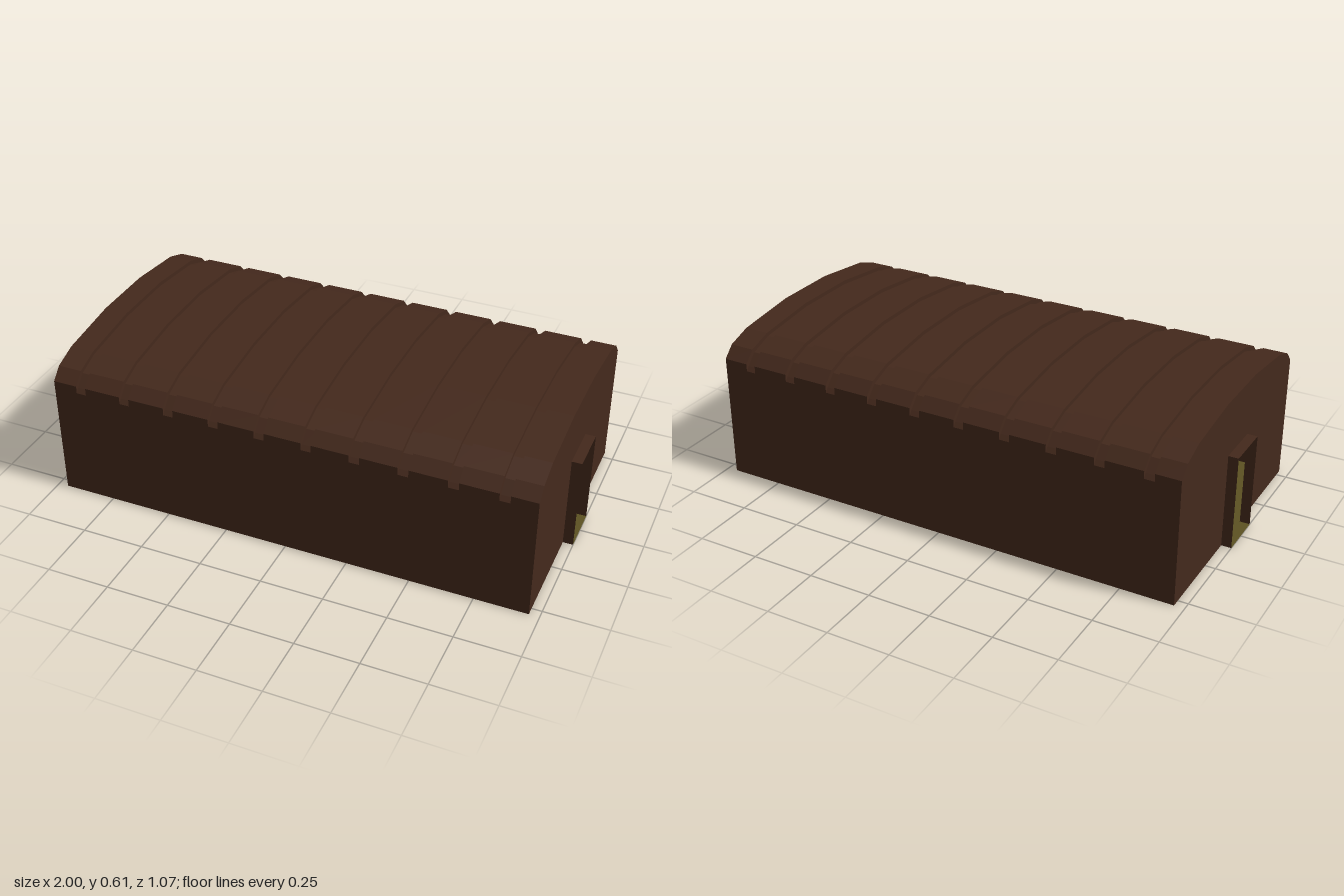
import * as THREE from 'three';

const HALF_X = 0.96, HALF_Z = 0.533, EAVE = 0.47;
const DOOR_W = 0.19, DOOR_H = 0.38, PORCH = 0.04;

// Half profiles [z, y] from the eave to the crown, mirrored to the full arch
const mirror = half => [...half, ...half.map(([z, y]) => [-z, y]).reverse()];
const ARCH = mirror([[HALF_Z, EAVE], [HALF_Z, 0.5], [0.49, 0.545], [0.395, 0.578], [0.135, 0.608]]);
const GROOVE = mirror([[HALF_Z, EAVE], [0.52, 0.487], [0.48, 0.53], [0.39, 0.563], [0.133, 0.592]]);

// Skin a row of cross-sections placed along x
function loft(sections) {
  const positions = [], index = [], n = sections[0].profile.length;
  for (const { x, profile } of sections) for (const [z, y] of profile) positions.push(x, y, z);
  for (let s = 0; s < sections.length - 1; s++) {
    for (let i = 0; i < n - 1; i++) {
      const a = s * n + i, b = a + n;
      index.push(a, b, b + 1, a, b + 1, a + 1);
    }
  }
  const g = new THREE.BufferGeometry();
  g.setAttribute('position', new THREE.Float32BufferAttribute(positions, 3));
  g.setIndex(index);
  const flat = g.toNonIndexed();
  flat.computeVertexNormals();
  return flat;
}

export function createModel() {
  const group = new THREE.Group();
  const wood = new THREE.MeshStandardMaterial({ color: 0x44291c, side: THREE.DoubleSide, flatShading: true });
  const earth = new THREE.MeshStandardMaterial({ color: 0x5c5222, side: THREE.DoubleSide, flatShading: true });

  const add = (name, geometry, material = wood) => {
    const mesh = new THREE.Mesh(geometry, material);
    mesh.name = name;
    group.add(mesh);
    return mesh;
  };

  // Arched roof with ten narrow grooves
  const sections = [{ x: -HALF_X, profile: ARCH }];
  for (let i = 0; i < 10; i++) {
    const c = -0.843 + i * 0.1869, l = c - 0.02, r = c + 0.02;
    sections.push({ x: l, profile: ARCH }, { x: l, profile: GROOVE },
      { x: r, profile: GROOVE }, { x: r, profile: ARCH });
  }
  sections.push({ x: HALF_X, profile: ARCH });
  add('roof', loft(sections));

  // Long side walls
  for (const s of [1, -1]) {
    const wall = add(s > 0 ? 'frontWall' : 'backWall', new THREE.PlaneGeometry(HALF_X * 2, EAVE));
    wall.position.set(0, EAVE / 2, s * HALF_Z);
    if (s < 0) wall.rotation.y = Math.PI;
  }

  // Gable wall outline running around the doorway
  const w = DOOR_W / 2;
  const gable = new THREE.Shape([
    [w, 0], [HALF_Z, 0], ...ARCH, [-HALF_Z, 0], [-w, 0], [-w, DOOR_H], [w, DOOR_H],
  ].map(p => new THREE.Vector2(...p)));

  // Each end: gable, thin door surround and threshold
  for (const s of [1, -1]) {
    const side = s > 0 ? 'left' : 'right';
    const end = add(side + 'GableWall', new THREE.ShapeGeometry(gable));
    end.position.x = s * HALF_X;
    end.rotation.y = s * Math.PI / 2;

    const frame = [[w, 0], [w, DOOR_H], [-w, DOOR_H], [-w, 0]];
    const xs = [s * HALF_X, s * (HALF_X + PORCH)].sort((a, b) => a - b);
    add(side + 'DoorSurround', loft(xs.map(x => ({ x, profile: frame }))));

    const sill = add(side + 'Threshold', new THREE.PlaneGeometry(PORCH, DOOR_W), earth);
    sill.rotation.x = -Math.PI / 2;
    sill.position.x = s * (HALF_X + PORCH / 2);
  }

  // Earth floor
  const floor = add('floor', new THREE.PlaneGeometry(HALF_X * 2, HALF_Z * 2), earth);
  floor.rotation.x = -Math.PI / 2;

  return group;
}
